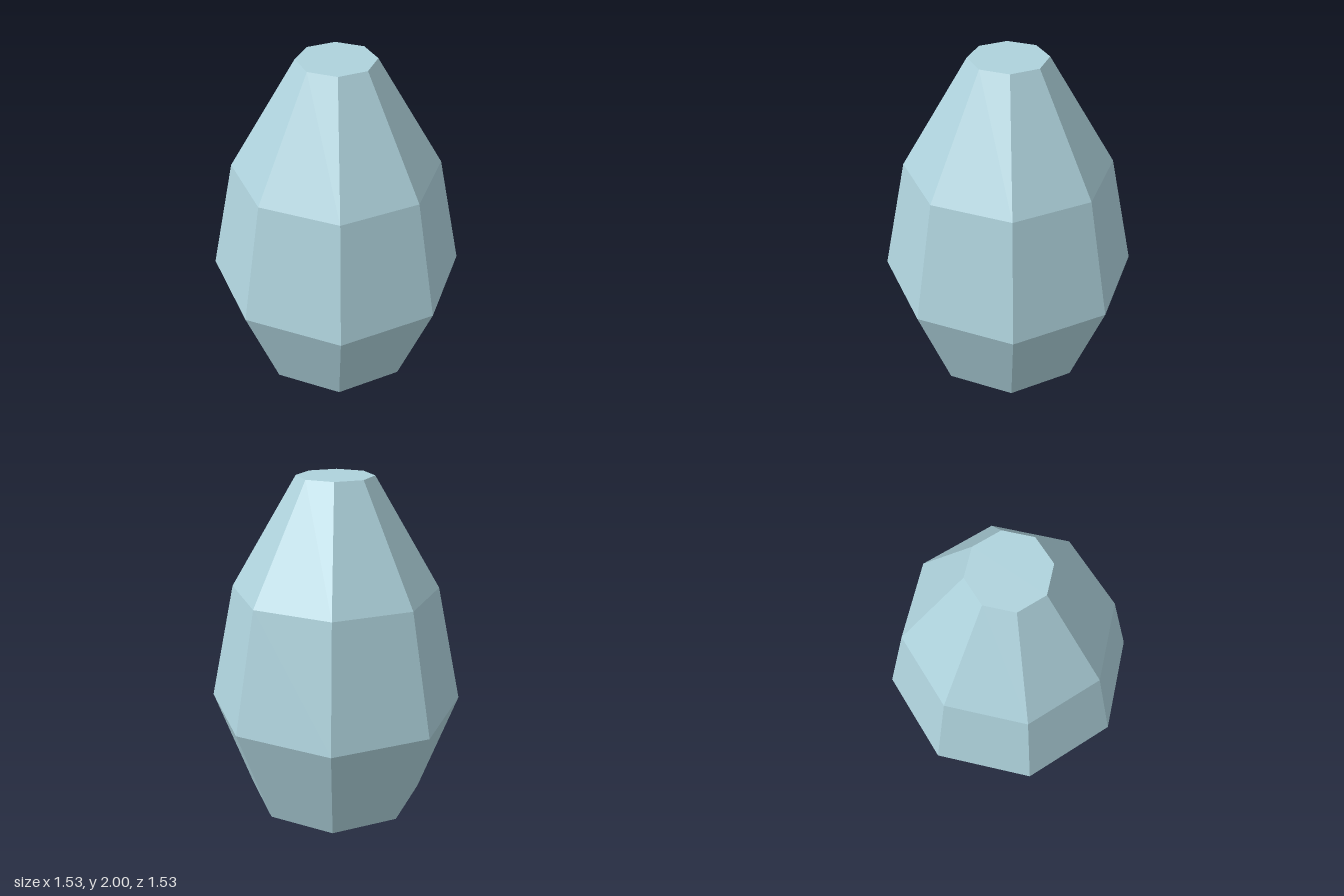
import * as THREE from 'three';

export function createModel() {
  const model = new THREE.Group();
  model.name = 'facetedEgg';

  const paleBlue = new THREE.MeshStandardMaterial({ color: 0xaed2dc, flatShading: true });
  paleBlue.name = 'paleBlue';

  // Eight-sided body: radius and height of each ring, closed at both ends
  const profile = [
    [0, 0],
    [0.535, 0],
    [0.763, 0.64],
    [0.608, 1.35],
    [0.222, 2],
    [0, 2],
  ].map(([r, y]) => new THREE.Vector2(r, y));

  const body = new THREE.Mesh(new THREE.LatheGeometry(profile, 8), paleBlue);
  body.name = 'body';
  model.add(body);

  return model;
}
